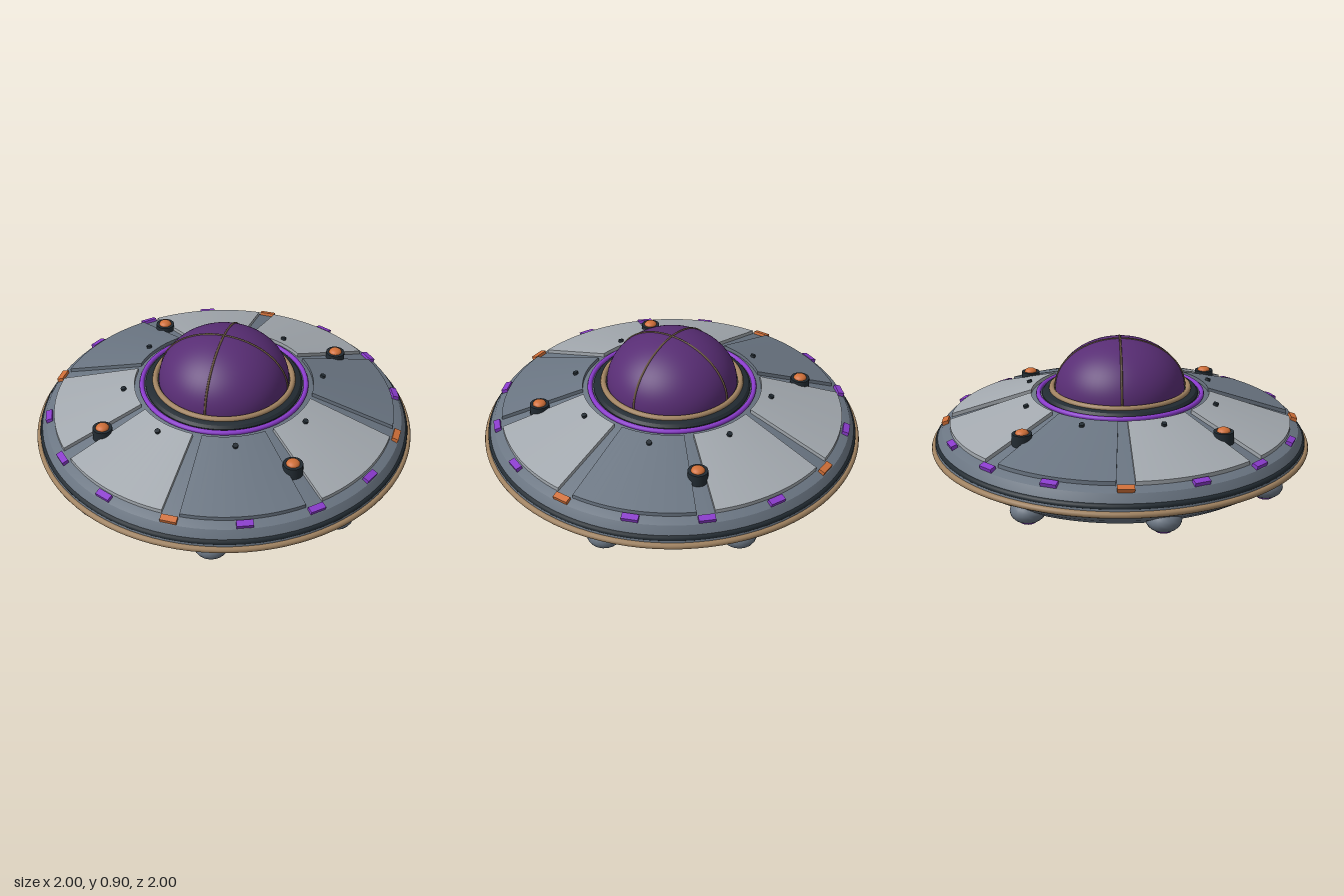
import * as THREE from 'three';
import { toCreasedNormals } from 'three/addons/utils/BufferGeometryUtils.js';

const mat = (name, color) => {
  const m = new THREE.MeshStandardMaterial({ color });
  m.name = name;
  return m;
};

export function createModel() {
  const slate = mat('slate hull', 0x6a7582);
  const silver = mat('silver panel', 0xa3a9af);
  const belly = mat('belly grey', 0x484e54);
  const dark = mat('dark trim', 0x222b32);
  const bronze = mat('bronze trim', 0xa08260);
  const violet = mat('bright violet', 0x8a3bcc);
  const plum = mat('plum glass', 0x582d74);
  const orange = mat('orange lamp', 0xd06f38);
  const rib = mat('rib brown', 0x66533f);

  const model = new THREE.Group();
  model.name = 'saucer';

  const add = (name, geometry, material, parent = model) => {
    const mesh = new THREE.Mesh(geometry, material);
    mesh.name = name;
    parent.add(mesh);
    return mesh;
  };
  const lathe = (name, profile, material) => add(name, toCreasedNormals(
    new THREE.LatheGeometry(profile.map(([r, y]) => new THREE.Vector2(r, y)), 96), 0.5), material);
  const ring = (name, radius, tube, y, material) => {
    const mesh = add(name, new THREE.TorusGeometry(radius, tube, 10, 96).rotateX(Math.PI / 2), material);
    mesh.position.y = y;
    return mesh;
  };
  // Group turned about the centre; its +z points outward
  const spoke = (name, angle) => {
    const g = new THREE.Group();
    g.name = name;
    g.rotation.y = angle;
    model.add(g);
    return g;
  };

  // Hull and belly
  lathe('hull', [[0.67, 0.185], [0.75, 0.2], [0.83, 0.23], [0.9, 0.275], [0.95, 0.32], [0.98, 0.345],
    [0.98, 0.365], [0.965, 0.4], [0.943, 0.435], [0.9, 0.455], [0.47, 0.592], [0.42, 0.605], [0.36, 0.61]], slate);
  lathe('bellyPlate', [[0.3, 0.145], [0.4, 0.147], [0.6, 0.16], [0.69, 0.185]], belly);
  ring('rimSeal', 0.962, 0.018, 0.377, dark);
  ring('rimBand', 0.984, 0.016, 0.345, bronze);
  ring('bellyRing', 0.672, 0.016, 0.18, violet);

  // Raised roof panels: boxes bent into sloping ring sectors
  const half = Math.PI / 8 - 0.05;
  for (let k = 0; k < 8; k++) {
    const box = new THREE.BoxGeometry(1, 1, 1, 16, 1, 1);
    const p = box.attributes.position;
    for (let i = 0; i < p.count; i++) {
      const a = p.getX(i) * 2 * half;
      const t = p.getZ(i) + 0.5;
      const r = 0.47 + 0.43 * t;
      p.setXYZ(i, r * Math.sin(a), 0.613 - 0.138 * t + (p.getY(i) - 0.5) * 0.026, r * Math.cos(a));
    }
    const g = spoke('roofSector', (k + 0.5) * Math.PI / 4);
    add('roofPanel', toCreasedNormals(box, 0.5), ((9 - k) % 8) % 3 === 1 ? slate : silver, g);
    const bolt = add('bolt', new THREE.CylinderGeometry(0.014, 0.014, 0.02, 12), dark, g);
    bolt.position.set(0, 0.598, 0.527);
    bolt.rotation.x = 0.31;
  }

  // Collar and canopy
  lathe('collar', [[0.412, 0.59], [0.412, 0.612], [0.4, 0.626], [0.38, 0.632], [0.33, 0.634]], dark);
  ring('collarGlow', 0.431, 0.013, 0.607, violet);
  ring('canopyBand', 0.36, 0.015, 0.636, bronze);
  const canopy = add('canopy', new THREE.SphereGeometry(1, 64, 24, 0, Math.PI * 2, 0, Math.PI / 2), plum);
  canopy.scale.set(0.342, 0.268, 0.342);
  canopy.position.y = 0.63;
  for (const turn of [0, Math.PI / 2]) {
    const arc = [];
    for (let i = 0; i <= 32; i++) {
      const a = Math.PI * i / 32;
      arc.push(new THREE.Vector3(0.342 * Math.cos(a), 0.63 + 0.267 * Math.sin(a), 0));
    }
    const strip = new THREE.TubeGeometry(new THREE.CatmullRomCurve3(arc), 64, 0.006, 6);
    add('canopyRib', strip, rib).rotation.y = turn;
  }

  // Rim lights, orange at the four quarters
  for (let k = 0; k < 16; k++) {
    const g = spoke('rimLightMount', k * Math.PI / 8);
    const light = add('rimLight', new THREE.BoxGeometry(0.082, 0.024, 0.034), k % 4 ? violet : orange, g);
    light.position.set(0, 0.45, 0.925);
    light.rotation.x = 0.3;
  }

  // Roof lamps on the diagonals
  for (let k = 0; k < 4; k++) {
    const g = spoke('roofLamp', (k + 0.5) * Math.PI / 2);
    add('lampBase', new THREE.CylinderGeometry(0.05, 0.052, 0.06, 24), dark, g).position.set(0, 0.534, 0.7);
    const bulb = add('lampBulb', new THREE.SphereGeometry(0.035, 20, 12), orange, g);
    bulb.scale.y = 0.6;
    bulb.position.set(0, 0.563, 0.7);
  }

  // Underside pods with glowing tips
  for (let k = 0; k < 8; k++) {
    const g = spoke('pod', 0.213 + k * Math.PI / 4);
    const shell = add('podShell', new THREE.SphereGeometry(0.088, 20, 12), slate, g);
    shell.scale.y = 0.68;
    shell.position.set(0, 0.255, 0.855);
    const tip = add('podTip', new THREE.SphereGeometry(0.05, 20, 10), violet, g);
    tip.scale.y = 0.5;
    tip.position.set(0, 0.211, 0.855);
  }

  // Alternating fins around the hub
  for (let k = 0; k < 12; k++) {
    const g = spoke('finMount', k * Math.PI / 6);
    add('fin', new THREE.BoxGeometry(0.03, 0.028, 0.22), k % 2 ? dark : silver, g).position.set(0, 0.136, 0.47);
  }

  // Hub and engine lens
  lathe('hub', [[0, 0.05], [0.24, 0.055], [0.255, 0.085], [0.31, 0.092], [0.32, 0.118], [0.395, 0.122], [0.408, 0.15]], dark);
  ring('hubBand', 0.318, 0.015, 0.102, bronze);
  ring('engineRing', 0.238, 0.017, 0.068, violet);
  const lens = add('engineLens', new THREE.SphereGeometry(1, 48, 12, 0, Math.PI * 2, Math.PI / 2, Math.PI / 2), plum);
  lens.scale.set(0.2, 0.06, 0.2);
  lens.position.y = 0.06;

  return model;
}
